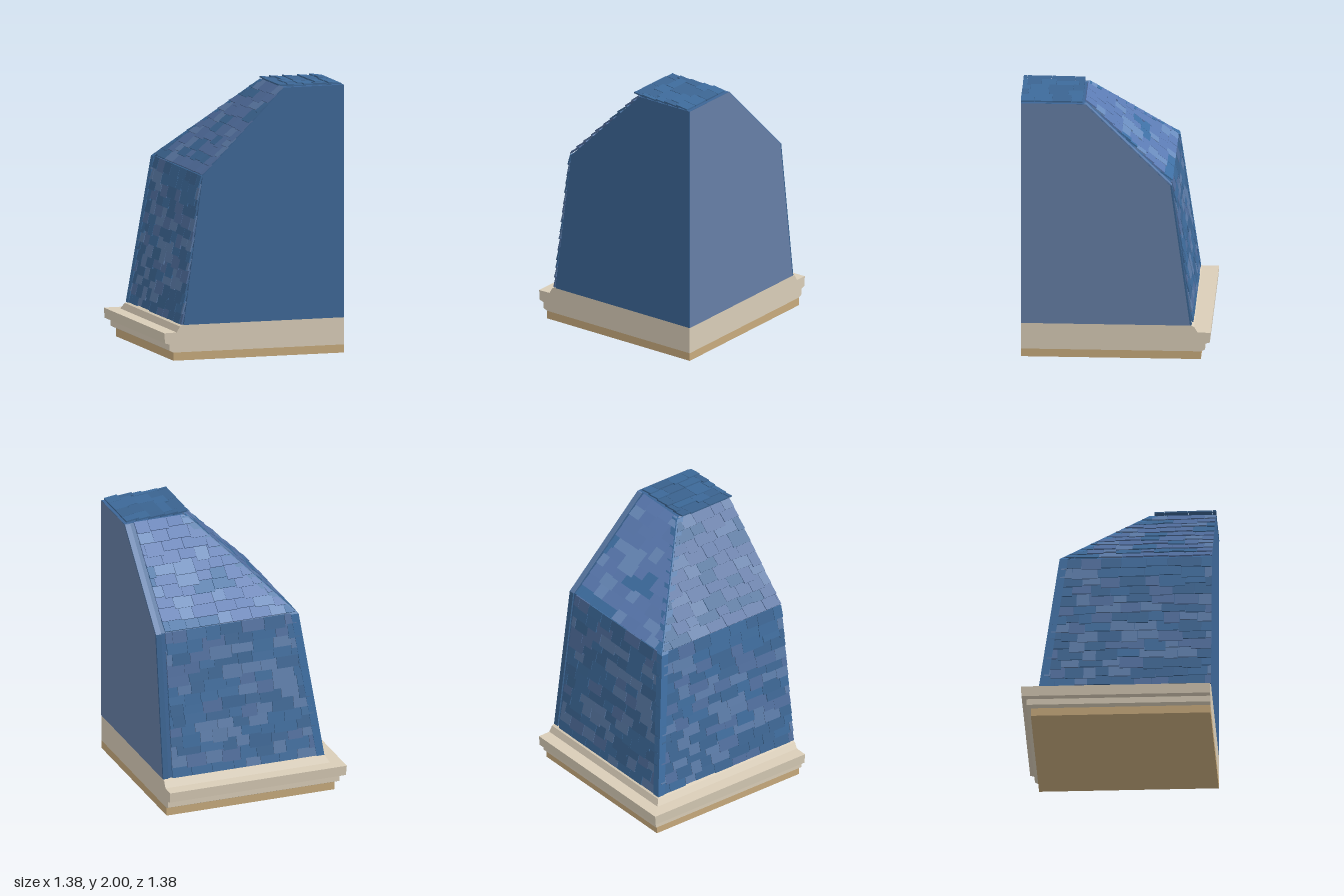
import * as THREE from 'three';
import { mergeGeometries } from 'three/addons/utils/BufferGeometryUtils.js';

const M = 0.686; // plane of the two flat cut sides
const mat = (color) => new THREE.MeshStandardMaterial({ color, flatShading: true, side: THREE.DoubleSide });

// small seeded random
let seed = 7;
function rnd(a = 0, b = 1) {
  seed = (seed * 16807) % 2147483647;
  return a + (b - a) * (seed / 2147483647);
}

// closed solid through rings { y, pts: [[x, z], ...] }
function loft(rings) {
  const pos = [];
  const n = rings[0].pts.length;
  const put = (r, i) => pos.push(r.pts[i % n][0], r.y, r.pts[i % n][1]);
  for (let k = 0; k < rings.length - 1; k++) {
    const lo = rings[k], hi = rings[k + 1];
    for (let i = 0; i < n; i++) {
      put(lo, i + 1); put(lo, i); put(hi, i);
      put(lo, i + 1); put(hi, i); put(hi, i + 1);
    }
  }
  const bottom = rings[0], top = rings[rings.length - 1];
  for (let i = 1; i < n - 1; i++) {
    put(bottom, 0); put(bottom, i); put(bottom, i + 1);
    put(top, 0); put(top, i + 1); put(top, i);
  }
  const g = new THREE.BufferGeometry();
  g.setAttribute('position', new THREE.Float32BufferAttribute(pos, 3));
  g.computeVertexNormals();
  return g;
}

// square plan reaching from -a to the cut planes
const corner = (profile) => loft(profile.map(([a, y]) => ({ y, pts: [[-a, -a], [M, -a], [M, M], [-a, M]] })));

// overlapping slates on a slope from (d0, y0) to (d1, y1), d = distance outward
function slates({ name, back, from, to, rows, hip, end, colors, width, tilt = 0.014 }) {
  const group = new THREE.Group();
  group.name = name;
  const [d0, y0] = from, [d1, y1] = to;
  const L = Math.hypot(d1 - d0, y1 - y0);
  const dd = (d1 - d0) / L, dy = (y1 - y0) / L;
  const step = L / rows, sgn = back ? -1 : 1;
  const buckets = colors.map(() => []);
  for (let r = 0; r < rows; r++) {
    const limit = (v) => (hip === undefined ? -(d0 + dd * v) : hip);
    let w = limit(r * step) - rnd(0, width[0]);
    while (w < end - 0.01) {
      const wide = rnd(...width);
      const v0 = Math.max(0, r * step + rnd(-0.3, 0.12) * step);
      const v1 = Math.min(L, (r + 1.2) * step);
      const lift = tilt * rnd(0.7, 1.1);
      const g = new THREE.BoxGeometry(1, 1, 1);
      const p = g.attributes.position;
      for (let i = 0; i < p.count; i++) {
        const v = p.getY(i) < 0 ? v0 : v1;
        const h = (p.getY(i) < 0 ? lift : 0.001) + (p.getZ(i) + 0.5) * 0.011;
        let u = w + wide * (0.5 + sgn * p.getX(i) * 0.98);
        u = Math.min(end, Math.max(limit(v), u));
        const d = d0 + dd * v + dy * h;
        const y = y0 + dy * v - dd * h;
        if (back) p.setXYZ(i, u, y, -d);
        else p.setXYZ(i, -d, y, u);
      }
      g.computeVertexNormals();
      if (w + wide > limit(v0) + 0.01) buckets[Math.floor(rnd() * colors.length)].push(g);
      w += wide;
    }
  }
  buckets.forEach((list, i) => {
    if (!list.length) return;
    const mesh = new THREE.Mesh(mergeGeometries(list), mat(colors[i]));
    mesh.name = name + 'Shade' + (i + 1);
    group.add(mesh);
  });
  return group;
}

export function createModel() {
  const model = new THREE.Group();
  model.name = 'mansardRoofCorner';
  const add = (name, geometry, color) => {
    const mesh = new THREE.Mesh(geometry, mat(color));
    mesh.name = name;
    model.add(mesh);
    return mesh;
  };

  // stone base and stepped cornice
  add('basePlinth', corner([[0.625, 0], [0.625, 0.06]]), 0xc8ab7d);
  add('cornice', corner([
    [0.625, 0.06], [0.655, 0.075], [0.655, 0.12], [0.69, 0.13], [0.695, 0.205],
    [0.6, 0.207], [0.575, 0.25], [0.55, 0.26],
  ]), 0xd9cdb8);

  // roof body with a steep lower slope, a shallow upper slope and a flat top
  const foot = [0.545, 0.26], knee = [0.4, 1.35], crown = [-0.225, 1.972];
  add('roofBody', corner([foot, knee, crown]), 0x3d6696);

  // flat cut sides
  const outline = new THREE.Shape([
    [-foot[0], foot[1]], [M, foot[1]], [M, crown[1]], [-crown[0], crown[1]], [-knee[0], knee[1]],
  ].map(([x, y]) => new THREE.Vector2(x, y)));
  add('frontPanel', new THREE.ShapeGeometry(outline), 0x3d6797).position.z = M + 0.002;
  const side = new THREE.ShapeGeometry(outline);
  side.scale(-1, 1, 1);
  side.rotateY(Math.PI / 2);
  add('sidePanel', side, 0x667fa6).position.x = M + 0.002;

  // slates on the two slopes of each outer side
  const lower = [0x3b6491, 0x4f6d9c, 0x5a7aa6, 0x3d6a9a];
  const upperBack = [0x5b7bb3, 0x3f70a4, 0x5b7bb3, 0x6a8cbd];
  const upperSide = [0x506d9d, 0x3c6693, 0x5b79a5, 0x506d9d];
  for (const back of [true, false]) {
    const where = back ? 'back' : 'side';
    const end = back ? 0.615 : M;
    model.add(slates({
      name: where + 'LowerSlates', back, from: foot, to: knee, rows: 14, end,
      colors: lower, width: [0.09, 0.19],
    }));
    model.add(slates({
      name: where + 'UpperSlates', back, from: knee, to: crown, rows: 10, end,
      colors: back ? upperBack : upperSide, width: [0.09, 0.19],
    }));
  }

  // slates on the flat top
  model.add(slates({
    name: 'topSlates', back: false, from: [-0.18, 1.974], to: [-0.665, 1.974], rows: 5,
    hip: 0.24, end: M + 0.004, colors: [0x3b6491, 0x3d6a9a, 0x3b6491], width: [0.1, 0.2],
  }));

  // folded cap along the hip
  const w = 0.035, t = 0.024;
  add('hipCap', loft([foot, knee, crown].map(([a, y]) => {
    const c = -a;
    return { y, pts: [[c, c], [c, c + w], [c - t, c + w], [c - t, c - t], [c + w, c - t], [c + w, c]] };
  })), 0x3f70a4);

  // plain edge strip beside the back slates
  const strip = (lo, hi) => loft([lo, hi].map(([a, y]) => (
    { y, pts: [[0.645, -a - 0.012], [M, -a - 0.012], [M, -a], [0.645, -a]] })));
  add('lowerEdgeStrip', strip(foot, knee), 0x3b6491);
  add('upperEdgeStrip', strip(knee, crown), 0x5c7dab);

  return model;
}
